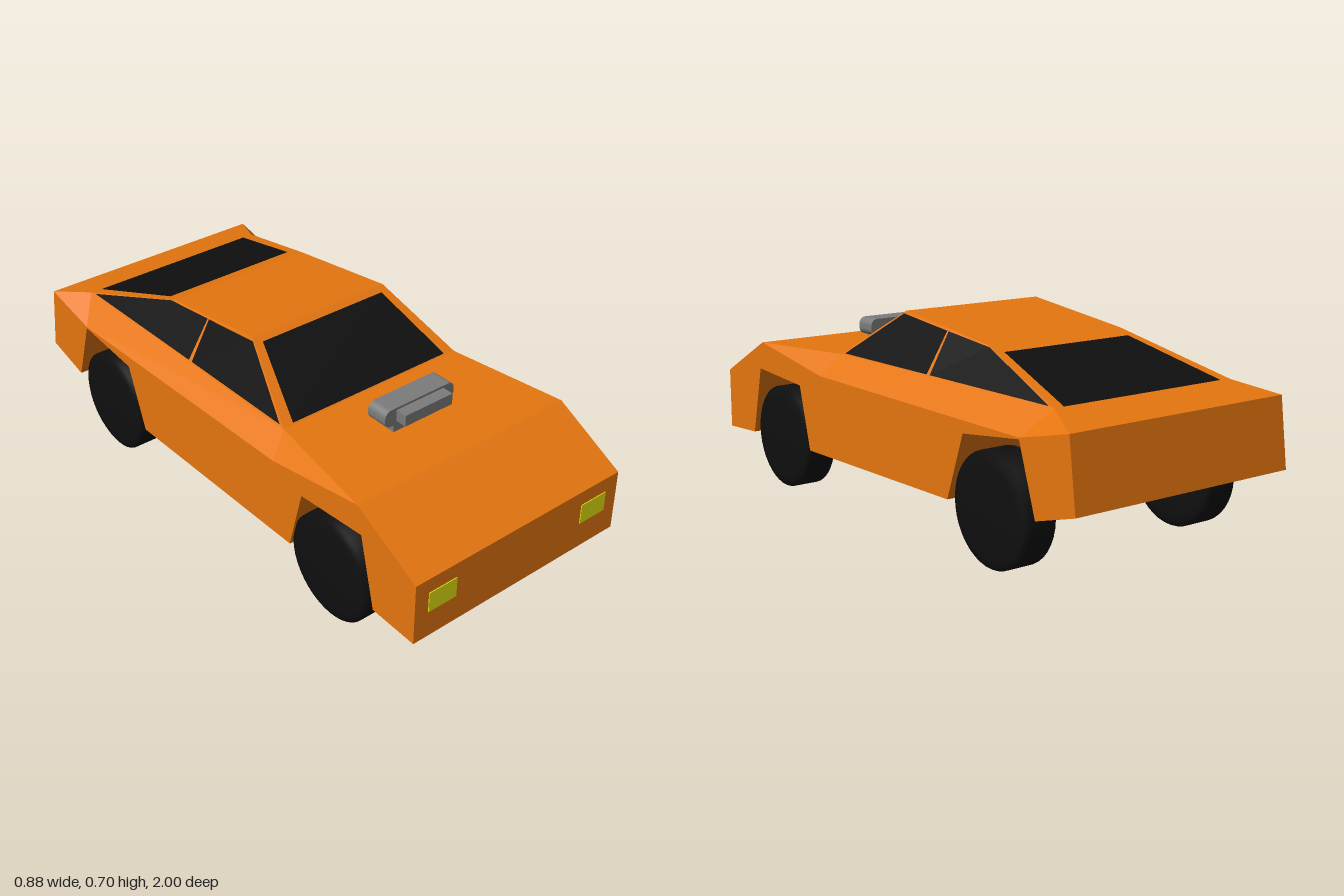
import * as THREE from 'three';

const paint = new THREE.MeshStandardMaterial({ name: 'orange paint', color: 0xe6760f });
const black = new THREE.MeshStandardMaterial({ name: 'black', color: 0x0f0f0f });
const metal = new THREE.MeshStandardMaterial({ name: 'grey metal', color: 0x7c7c7c });
const lamp = new THREE.MeshStandardMaterial({ name: 'yellow lamp', color: 0xe6e40f });

const W = 0.437; // half width of the body

const mirror = (poly) => poly.map(([x, y, z]) => [-x, y, z]).reverse();
const both = (polys) => polys.concat(polys.map(mirror));

// Flat-faced geometry from convex polygons, corners counter-clockwise from outside
function facets(polys) {
  const pos = [];
  for (const p of polys) {
    for (let i = 1; i < p.length - 1; i++) pos.push(...p[0], ...p[i], ...p[i + 1]);
  }
  const g = new THREE.BufferGeometry();
  g.setAttribute('position', new THREE.Float32BufferAttribute(pos, 3));
  g.computeVertexNormals();
  return g;
}

function add(parent, name, geometry, material, x = 0, y = 0, z = 0) {
  const m = new THREE.Mesh(geometry, material);
  m.name = name;
  m.position.set(x, y, z);
  parent.add(m);
  return m;
}

// Point inside a four-cornered panel
function inside([a, b, c, d], u, v) {
  return a.map((_, i) => (1 - v) * ((1 - u) * a[i] + u * b[i]) + v * ((1 - u) * d[i] + u * c[i]));
}

// Splits a panel into a painted frame and a pane; margins: u0, u1, v0, v1
function framed(q, [u0, u1, v0, v1]) {
  const pane = [inside(q, u0, v0), inside(q, u1, v0), inside(q, u1, v1), inside(q, u0, v1)];
  const frame = q.map((p, i) => [p, q[(i + 1) % 4], pane[(i + 1) % 4], pane[i]]);
  return { pane, frame };
}

function buildBody(car) {
  // Side outline as [z, y]: underside with wheel arches, tail, shoulder crease, nose
  const low = [
    [1, 0.155], [0.82, 0.165], [0.76, 0.415], [0.48, 0.395], [0.42, 0.17],
    [-0.4, 0.175], [-0.48, 0.4], [-0.75, 0.433], [-0.825, 0.205], [-1, 0.255], [-0.97, 0.49],
  ];
  const outline = [...low, [-0.75, 0.438], [0.34, 0.45], [0.74, 0.515], [1, 0.375]];
  const side = outline.map(([z, y]) => [W, y, z]);
  const beltRear = [0.365, 0.525, -0.82];
  const beltFront = [0.37, 0.525, 0.31];

  // Side wall
  const flat = outline.map(([z, y]) => new THREE.Vector2(-z, y));
  const sides = THREE.ShapeUtils.triangulateShape(flat, []).map((t) => t.map((i) => side[i]));
  // Shoulder between crease and beltline
  const creaseRear = side[11], creaseFront = side[12], hoodTip = side[13], tail = side[10];
  sides.push(
    [hoodTip, creaseFront, beltFront],
    [creaseFront, creaseRear, beltRear, beltFront],
    [creaseRear, tail, beltRear],
  );
  // Faces running across the car
  const ring = [...side.slice(0, 11), beltRear, beltFront, hoodTip, side[14]];
  const flip = ([x, y, z]) => [-x, y, z];
  const across = ring.map((a, i) => {
    const b = ring[(i + 1) % ring.length];
    return [a, flip(a), flip(b), b];
  });
  add(car, 'body', facets([...both(sides), ...across]), paint);
}

function buildCabin(car) {
  const R = 0.28;
  const baseF = [0.37, 0.525, 0.31], baseM = [0.367, 0.525, -0.2], baseR = [0.365, 0.525, -0.82];
  const roofF = [R, 0.7, 0.04], roofM = [R, 0.67, -0.2], roofR = [R, 0.645, -0.4];
  const flip = ([x, y, z]) => [-x, y, z];

  const windshield = framed([flip(baseF), baseF, roofF, flip(roofF)], [0.055, 0.945, 0.02, 0.92]);
  const rearWindow = framed([baseR, flip(baseR), flip(roofR), roofR], [0.055, 0.945, 0.01, 0.86]);
  const frontSide = framed([baseF, baseM, roofM, roofF], [0.03, 0.985, 0.03, 0.95]);
  const rearSide = framed([baseM, baseR, roofR, roofM], [0.015, 0.98, 0.03, 0.95]);

  const roof = [
    [roofF, roofM, flip(roofM), flip(roofF)],
    [roofM, roofR, flip(roofR), flip(roofM)],
  ];
  add(car, 'cabinFrame', facets([
    ...roof, ...windshield.frame, ...rearWindow.frame,
    ...both([...frontSide.frame, ...rearSide.frame]),
  ]), paint);
  add(car, 'windshield', facets([windshield.pane]), black);
  add(car, 'rearWindow', facets([rearWindow.pane]), black);
  add(car, 'frontSideWindows', facets(both([frontSide.pane])), black);
  add(car, 'rearSideWindows', facets(both([rearSide.pane])), black);
}

function buildWheels(car) {
  // Tyre with softly bevelled shoulders, turned around its axle
  const profile = [
    [0, -0.06], [0.13, -0.06], [0.165, -0.057], [0.185, -0.047],
    [0.185, 0.047], [0.165, 0.057], [0.13, 0.06], [0, 0.06],
  ].map(([r, h]) => new THREE.Vector2(r, h));
  const tyre = new THREE.LatheGeometry(profile, 40);
  tyre.rotateZ(Math.PI / 2);
  for (const [end, z] of [['front', 0.61], ['rear', -0.61]]) {
    for (const s of [1, -1]) {
      add(car, `${end}${s > 0 ? 'Left' : 'Right'}Wheel`, tyre, black, s * 0.379, 0.186, z);
    }
  }
}

function buildIntake(car) {
  const intake = new THREE.Group();
  intake.name = 'hoodIntake';
  add(intake, 'intakeBase', new THREE.BoxGeometry(0.22, 0.06, 0.08), metal, 0, 0.545, 0.495);

  // Wide block with rounded ends
  const hw = 0.147, hh = 0.031, r = 0.025;
  const s = new THREE.Shape();
  s.absarc(hw - r, hh - r, r, 0, Math.PI / 2);
  s.absarc(r - hw, hh - r, r, Math.PI / 2, Math.PI);
  s.absarc(r - hw, r - hh, r, Math.PI, Math.PI * 1.5);
  s.absarc(hw - r, r - hh, r, Math.PI * 1.5, Math.PI * 2);
  const block = new THREE.ExtrudeGeometry(s, { depth: 0.08, bevelEnabled: false, curveSegments: 3 });
  add(intake, 'intakeBlock', block, metal, 0, 0.576, 0.455);

  add(intake, 'intakeScoop', new THREE.BoxGeometry(0.2, 0.04, 0.045), metal, 0, 0.579, 0.555);
  car.add(intake);
}

export function createModel() {
  const car = new THREE.Group();
  car.name = 'wedgeSportsCar';
  buildBody(car);
  buildCabin(car);
  buildWheels(car);
  buildIntake(car);
  // Headlights
  for (const s of [1, -1]) {
    const name = s > 0 ? 'leftHeadlight' : 'rightHeadlight';
    add(car, name, new THREE.BoxGeometry(0.112, 0.072, 0.008), lamp, s * 0.327, 0.287, 0.999);
  }
  return car;
}
